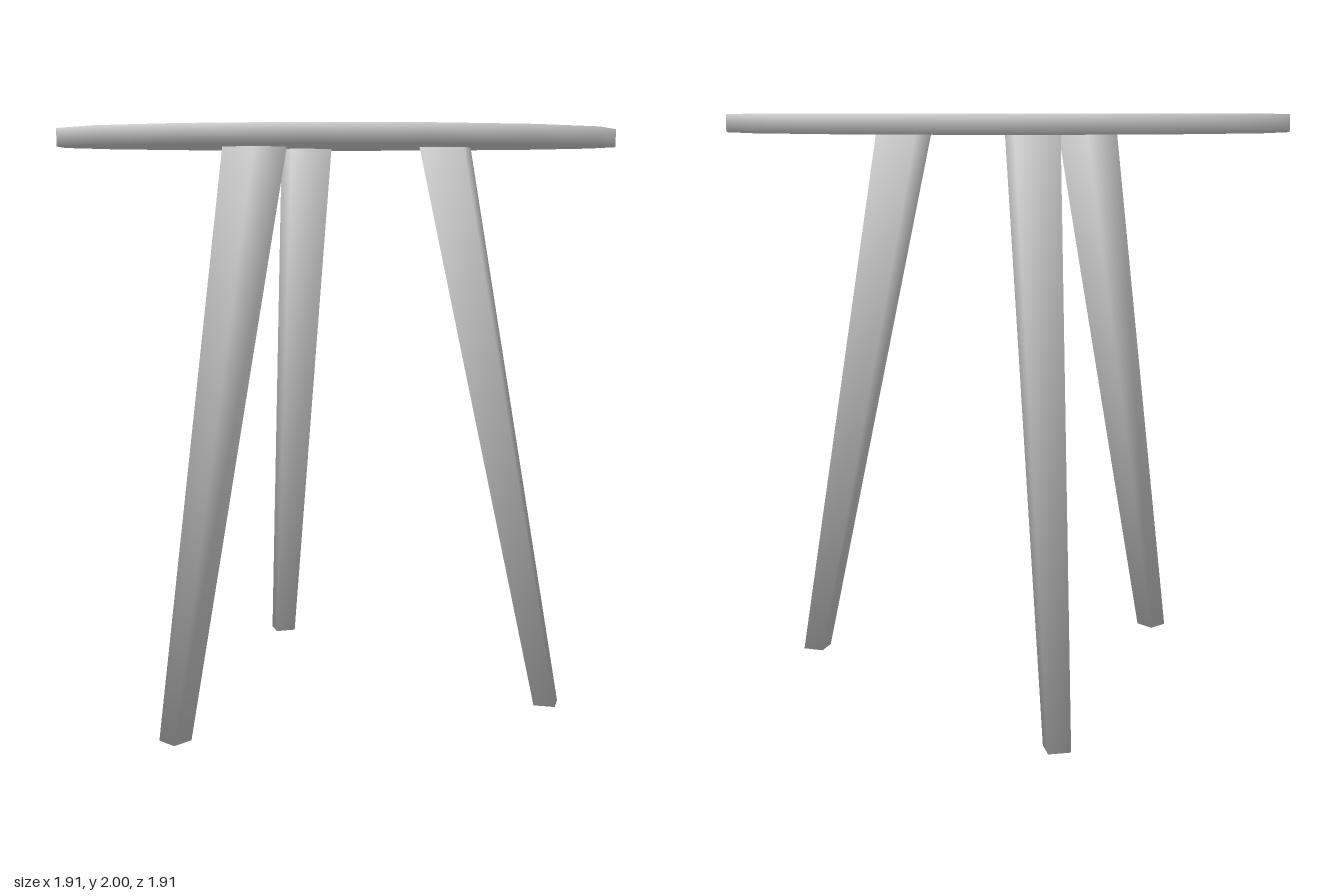
import * as THREE from 'three';

const material = new THREE.MeshStandardMaterial({ color: 0xcccccc });
const RADIUS = 0.957, TOP = 2, UNDERSIDE = 1.94;

// Soft shading: every corner gets one normal shared by all faces that meet there
function setNormals(geometry, rule) {
  const p = geometry.attributes.position, n = geometry.attributes.normal;
  const v = new THREE.Vector3();
  for (let i = 0; i < p.count; i++) {
    rule(v.fromBufferAttribute(p, i)).normalize();
    n.setXYZ(i, v.x, v.y, v.z);
  }
}

// Sixteen-sided disc with corners on the axes
function createTop() {
  const corners = [];
  for (let i = 0; i < 16; i++) {
    const a = (i / 16) * Math.PI * 2;
    corners.push(new THREE.Vector2(Math.cos(a) * RADIUS, Math.sin(a) * RADIUS));
  }
  const geometry = new THREE.ExtrudeGeometry(new THREE.Shape(corners), {
    depth: TOP - UNDERSIDE, bevelEnabled: false,
  });
  geometry.rotateX(-Math.PI / 2).translate(0, UNDERSIDE, 0);
  const middle = (TOP + UNDERSIDE) / 2;
  setNormals(geometry, (v) => v.set(v.x / RADIUS, v.y > middle ? 0.9 : -0.9, v.z / RADIUS));
  const mesh = new THREE.Mesh(geometry, material);
  mesh.name = 'tableTop';
  return mesh;
}

// Square leg, splayed outward along +z and tapering to the foot, cut level at both ends
function createLegGeometry() {
  const geometry = new THREE.BoxGeometry(2, 2, 2);
  setNormals(geometry, (v) => v);
  const p = geometry.attributes.position;
  for (let i = 0; i < p.count; i++) {
    const upper = p.getY(i) > 0;
    const half = upper ? 0.075 : 0.0375;
    const out = upper ? 0.385 : 0.765;
    p.setXYZ(i, p.getX(i) * half, upper ? UNDERSIDE : 0, out + p.getZ(i) * half);
  }
  return geometry;
}

export function createModel() {
  const group = new THREE.Group();
  group.name = 'roundTable';
  group.add(createTop());

  // Three legs, evenly spaced
  const legGeometry = createLegGeometry();
  ['frontLeftLeg', 'backLeg', 'frontRightLeg'].forEach((name, i) => {
    const leg = new THREE.Mesh(legGeometry, material);
    leg.name = name;
    leg.rotation.y = Math.PI / 3 + (i * Math.PI * 2) / 3;
    group.add(leg);
  });
  return group;
}
